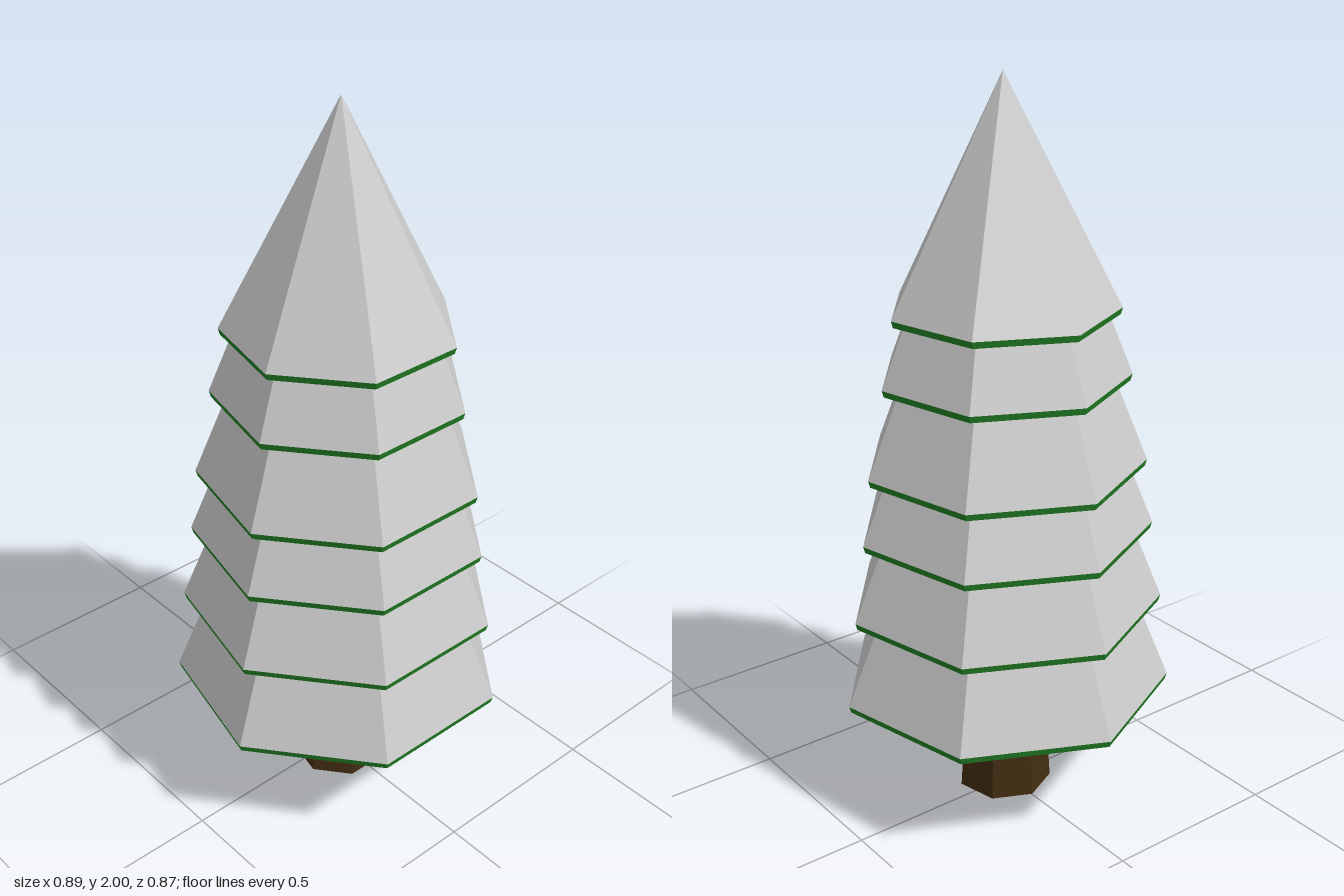
import * as THREE from 'three';

const SIDES = 7;
const LIP = 0.018;

// Rim height (underside) and rim radius of every tier, bottom to top
const TIERS = [
  [0.318, 0.459], [0.565, 0.432], [0.785, 0.402],
  [0.967, 0.382], [1.207, 0.337], [1.386, 0.307],
];
const APEX = 2;

const material = (color) => new THREE.MeshStandardMaterial({ color, flatShading: true });

// Seven-sided frustum with a corner pointing to the back
function frustum(rTop, rBottom, y0, y1, open) {
  const g = new THREE.CylinderGeometry(rTop, rBottom, y1 - y0, SIDES, 1, open, Math.PI);
  return g.translate(0, (y0 + y1) / 2, 0);
}

export function createModel() {
  const tree = new THREE.Group();
  tree.name = 'pineTree';
  const snow = material(0xcccccc);
  const needles = material(0x228024);
  const bark = material(0x432d11);

  const add = (parent, name, geometry, mat) => {
    const mesh = new THREE.Mesh(geometry, mat);
    mesh.name = name;
    parent.add(mesh);
  };

  // Tapered trunk
  add(tree, 'trunk', frustum(0.104, 0.133, 0, 0.46, false), bark);

  TIERS.forEach(([y, r], i) => {
    const tier = new THREE.Group();
    tier.name = `branchTier${i + 1}`;
    const rim = y + LIP;
    const last = i === TIERS.length - 1;

    // Snow slope, running up under the next tier
    const top = last ? APEX : TIERS[i + 1][0] + 0.07;
    const rTop = last ? 0 : r - (top - rim) * 0.4;
    add(tier, 'snowCover', frustum(rTop, r, rim, top, true), snow);

    // Green rim and hollow underside
    const profile = [[0, y + r * 0.28], [r - 0.005, y], [r, rim]];
    const under = new THREE.LatheGeometry(
      profile.map(([a, b]) => new THREE.Vector2(a, b)), SIDES, Math.PI);
    add(tier, 'greenUnderside', under, needles);
    tree.add(tier);
  });

  // Centre the seven-sided footprint
  tree.children.forEach((part) => part.position.set(-0.002, 0, 0.022));
  return tree;
}
